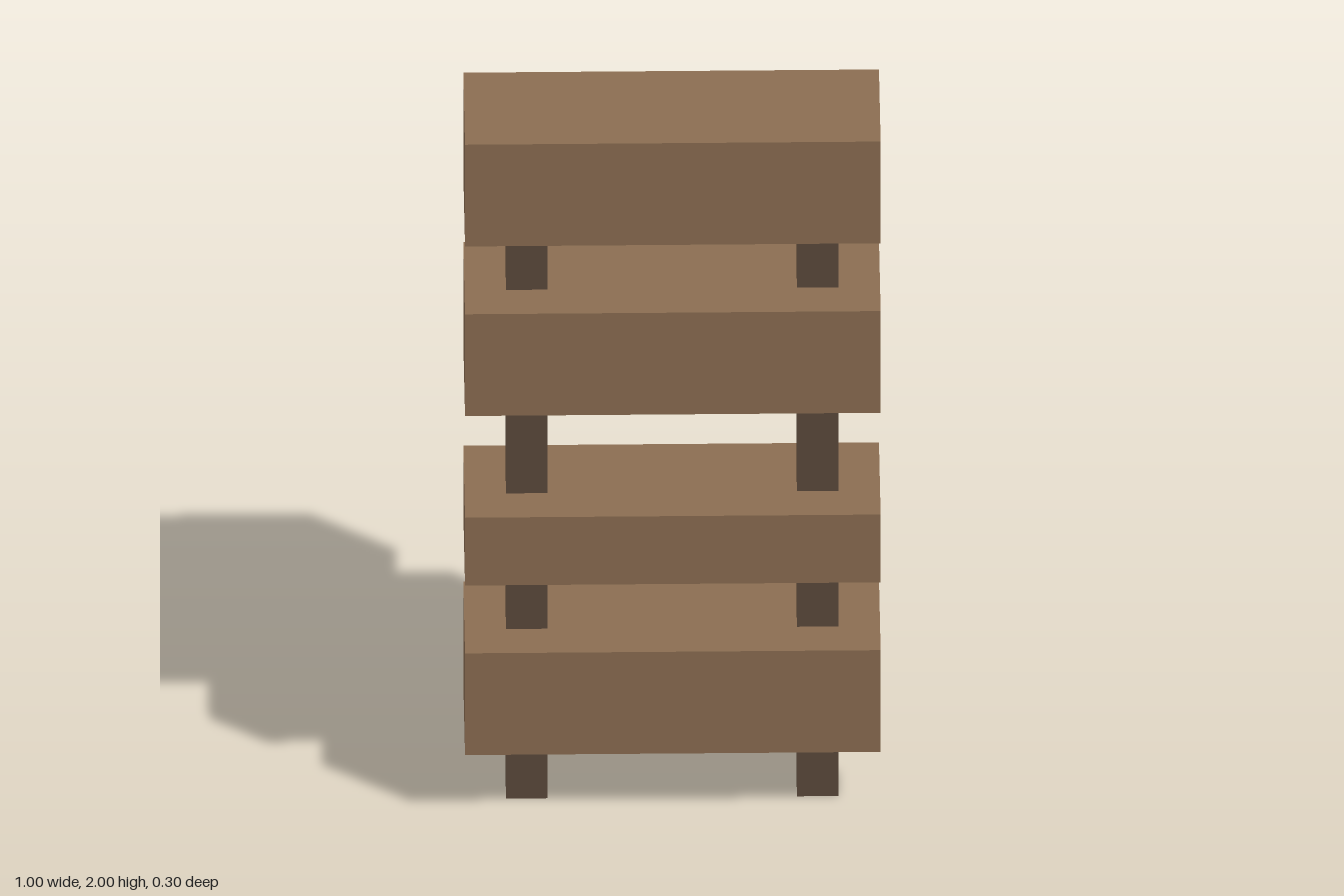
import * as THREE from 'three';

export function createModel() {
  const model = new THREE.Group();
  model.name = 'plankFence';

  const plankWood = new THREE.MeshStandardMaterial({ color: 0x8b6d52 });
  plankWood.name = 'plankWood';
  const postWood = new THREE.MeshStandardMaterial({ color: 0x5c4a3b });
  postWood.name = 'postWood';

  // Box placed by its bottom height
  const addBox = (name, material, w, h, d, x, bottom) => {
    const mesh = new THREE.Mesh(new THREE.BoxGeometry(w, h, d), material);
    mesh.name = name;
    mesh.position.set(x, bottom + h / 2, 0);
    model.add(mesh);
  };

  // Two upright posts, ending inside the top plank
  addBox('leftPost', postWood, 0.1, 1.8, 0.1, 0.35, 0);
  addBox('rightPost', postWood, 0.1, 1.8, 0.1, -0.35, 0);

  // Horizontal planks: name, bottom, height
  const planks = [
    ['bottomPlank', 0.2, 0.3],
    ['thinPlank', 0.7, 0.2],
    ['upperPlank', 1.2, 0.3],
    ['topPlank', 1.7, 0.3],
  ];
  for (const [name, bottom, height] of planks) {
    addBox(name, plankWood, 1, height, 0.3, 0, bottom);
  }

  return model;
}
